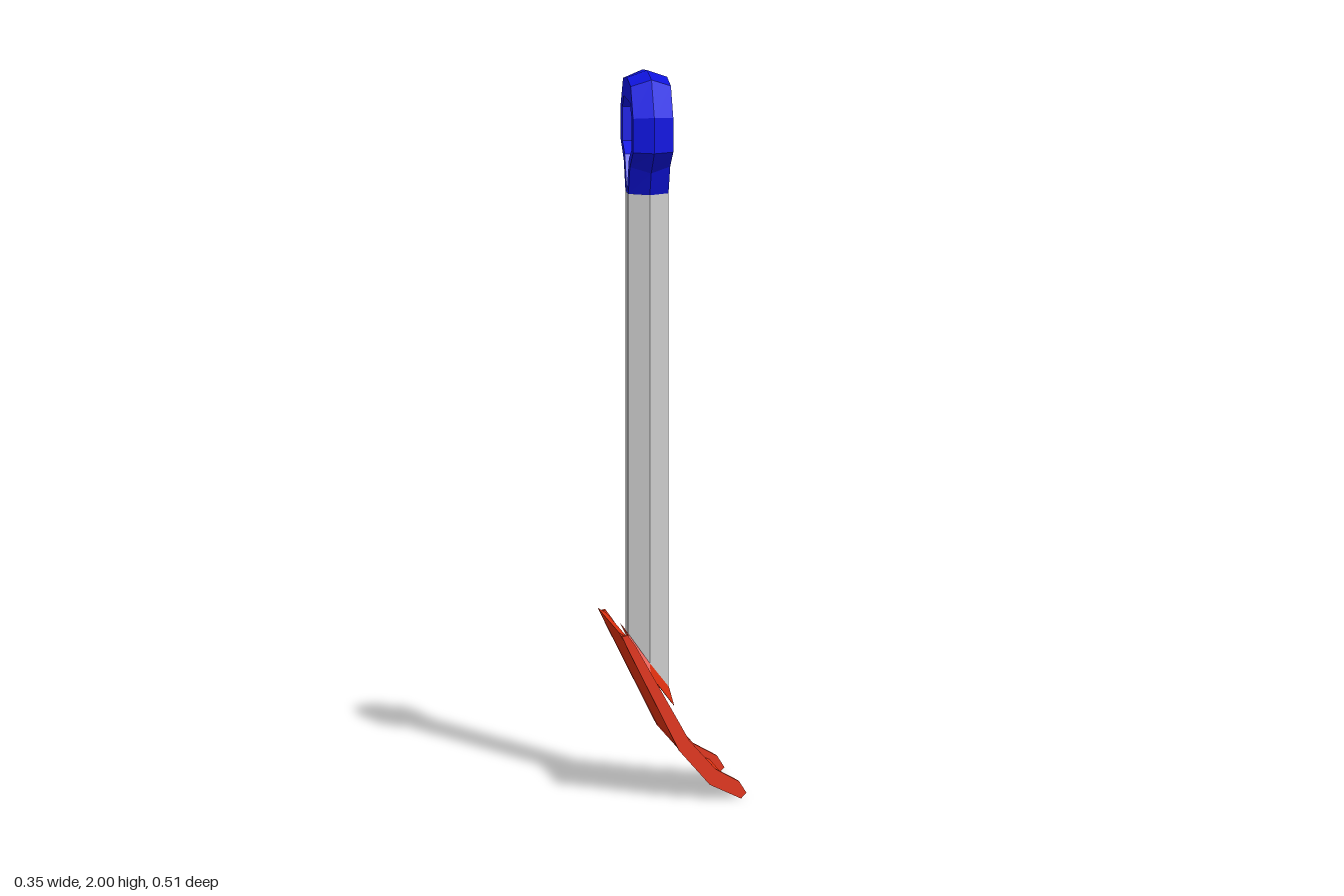
import * as THREE from 'three';

const V = (x, y, z) => new THREE.Vector3(x, y, z);
const RED = 0xe0300f, BLUE = 0x0f14e0, GREY = 0xcccccc;
const SHAFT_X = -0.07;

function part(name, geometry, color) {
  const mesh = new THREE.Mesh(geometry, new THREE.MeshStandardMaterial({ color, flatShading: true }));
  mesh.name = name;
  return mesh;
}

// Skin a series of equal-length rings, capping both ends; winding is made to face outward.
function loft(rings) {
  const tris = [];
  const n = rings[0].length;
  for (let i = 0; i < rings.length - 1; i++) {
    for (let j = 0; j < n; j++) {
      const k = (j + 1) % n;
      const [a, b, c, d] = [rings[i][j], rings[i][k], rings[i + 1][k], rings[i + 1][j]];
      tris.push([a, b, c], [a, c, d]);
    }
  }
  const first = rings[0], last = rings[rings.length - 1];
  for (let j = 1; j < n - 1; j++) {
    tris.push([first[0], first[j + 1], first[j]], [last[0], last[j], last[j + 1]]);
  }
  const volume = tris.reduce((s, [a, b, c]) => s + a.dot(b.clone().cross(c)), 0);
  if (volume < 0) tris.forEach((t) => t.reverse());
  const geometry = new THREE.BufferGeometry().setFromPoints(tris.flat());
  geometry.computeVertexNormals();
  return geometry;
}

// Hexagon around the shaft axis, its height given by a rule on x.
function hexRing(radius, heightAt) {
  return Array.from({ length: 6 }, (_, i) => {
    const a = (i * Math.PI) / 3;
    const x = SHAFT_X + radius * Math.sin(a);
    return V(x, heightAt(x), radius * Math.cos(a));
  });
}

// Side profile extruded across the blade between two z values.
function slab(points, z0, z1) {
  const shape = new THREE.Shape(points.map(([x, y]) => new THREE.Vector2(x, y)));
  return new THREE.ExtrudeGeometry(shape, { depth: z1 - z0, bevelEnabled: false }).translate(0, 0, z0);
}

export function createModel() {
  const model = new THREE.Group();
  model.name = 'shovel';

  // Hexagonal shaft, cut at a slant where it meets the blade
  const slant = (x) => 0.28 - (x + 0.014) * 1.25;
  model.add(part('shaft', loft([hexRing(0.065, slant), hexRing(0.065, () => 1.66)]), GREY));

  // Socket collar flaring from the shaft onto the blade
  model.add(part('socket', loft([
    hexRing(0.082, (x) => 0.225 - x * 1.3 < 0.23 ? 0.23 : 0.23 - (x + 0.02) * 1.85),
    hexRing(0.066, (x) => slant(x) + 0.004),
  ]), RED));

  // Grip loop: outer ridge, side edge and flat inner face at each station, as [z, y]
  const half = [
    [[0.065, 1.66], [0.032, 1.66], [0, 1.66]],
    [[0.095, 1.725], [0.07, 1.74], [0.045, 1.76]],
    [[0.166, 1.79], [0.14, 1.79], [0.1, 1.79]],
    [[0.166, 1.89], [0.14, 1.885], [0.1, 1.885]],
    [[0.102, 1.987], [0.086, 1.967], [0.068, 1.92]],
    [[0, 2], [0, 1.98], [0, 1.92]],
  ];
  const mirrored = half.slice(0, -1).reverse().map((s) => s.map(([z, y]) => [-z, y]));
  const w = 0.056;
  const rings = [...half, ...mirrored].map(([ridge, side, inner]) => [
    V(SHAFT_X, ridge[1], ridge[0]),
    V(SHAFT_X + w, side[1], side[0]),
    V(SHAFT_X + w, inner[1], inner[0]),
    V(SHAFT_X - w, inner[1], inner[0]),
    V(SHAFT_X - w, side[1], side[0]),
  ]);
  model.add(part('gripLoop', loft(rings), BLUE));

  // Curved blade plate with a small lip along the top edge
  const plate = [
    [-0.177, 0.466], [-0.153, 0.452], [0, 0.155], [0.083, 0.063], [0.135, 0.038], [0.16, 0.012],
    [0.155, 0.003], [0.075, 0.042], [-0.01, 0.138], [-0.155, 0.424],
  ];
  model.add(part('bladePlate', slab(plate, -0.246, 0.238), RED));

  // Raised rims along both sides of the blade
  const rim = [
    [-0.171, 0.457], [-0.155, 0.461], [-0.134, 0.432], [0.016, 0.165], [0.09, 0.083], [0.155, 0.048],
    [0.175, 0.016], [0.16, 0.0], [0.073, 0.04], [-0.012, 0.136], [-0.153, 0.418],
  ];
  for (const [name, z] of [['leftRim', 0.236], ['rightRim', -0.258]]) {
    model.add(part(name, slab(rim, z, z + 0.02), RED));
  }
  return model;
}
